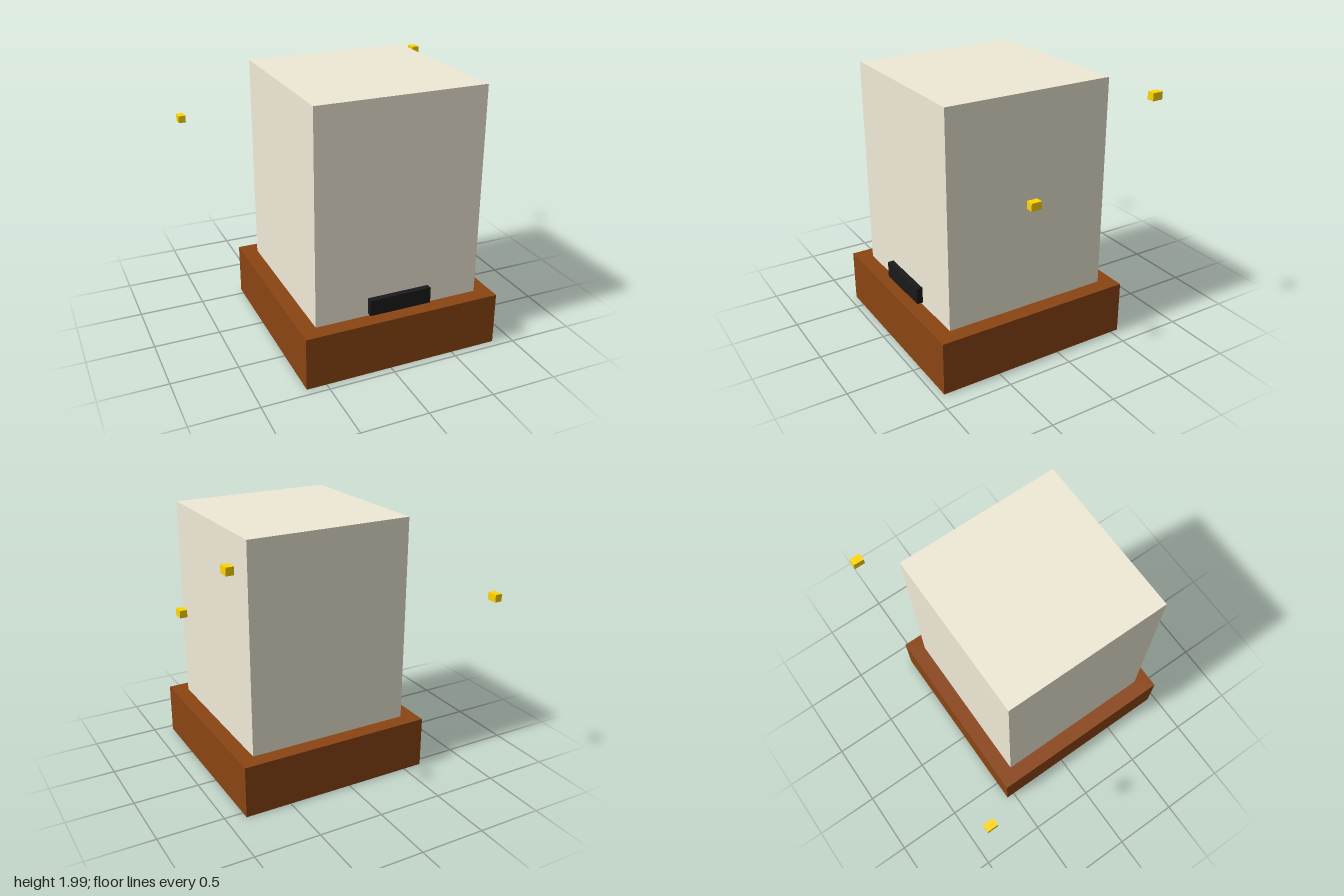
import * as THREE from 'three';

export function createModel() {
  const hive = new THREE.Group();
  hive.name = 'beehive';

  const paint = (color) => new THREE.MeshStandardMaterial({ color });
  const wood = paint(0x8b4513);
  const cream = paint(0xf0ead6);
  const dark = paint(0x1a1a1a);
  const yellow = paint(0xffd700);

  function box(name, material, size, position) {
    const mesh = new THREE.Mesh(new THREE.BoxGeometry(...size), material);
    mesh.name = name;
    mesh.position.set(...position);
    hive.add(mesh);
  }

  // Centre line of the hive, offset because the bees widen the bounds
  const cx = 0.103, cz = 0.19;

  // Wooden base and hive body standing on it
  box('base', wood, [1.505, 0.4, 1.505], [cx, 0.2, cz]);
  box('hiveBody', cream, [1.267, 1.585, 1.267], [cx, 1.1925, cz]);

  // Entrance slot, half sunk into the front wall
  box('entrance', dark, [0.475, 0.12, 0.09], [cx, 0.48, cz + 0.634]);

  // Bees hovering around the hive
  const bees = [
    [0.967, 1.88, -0.658],
    [0.94, 1.29, 0.29],
    [-0.972, 1.453, -0.905],
  ];
  for (const position of bees) box('bee', yellow, [0.056, 0.056, 0.08], position);

  return hive;
}
